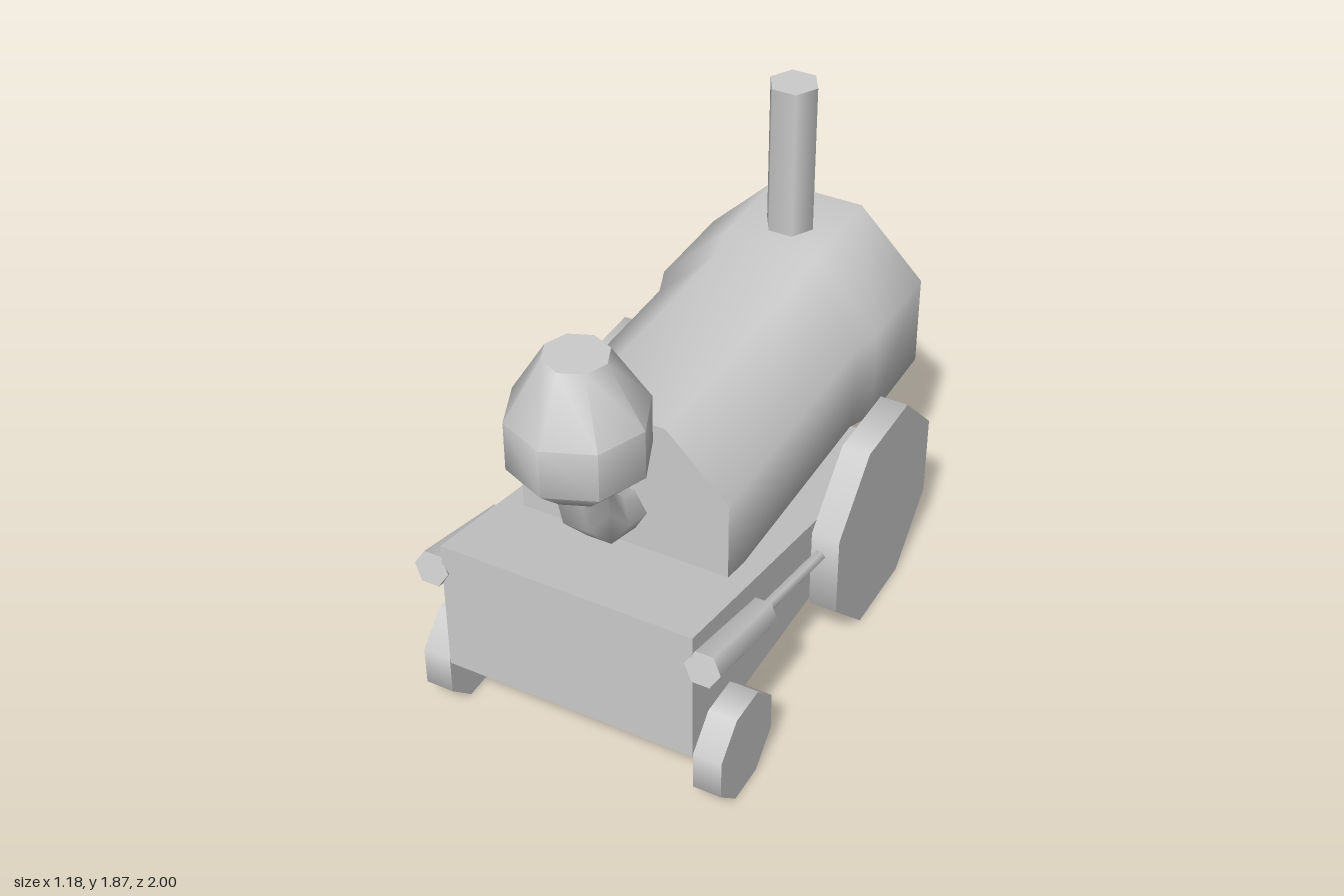
import * as THREE from 'three';
import { toCreasedNormals } from 'three/addons/utils/BufferGeometryUtils.js';

const material = new THREE.MeshStandardMaterial({ color: 0xcccccc });

export function createModel() {
  const model = new THREE.Group();
  const add = (name, geometry) => {
    const mesh = new THREE.Mesh(geometry, material);
    mesh.name = name;
    model.add(mesh);
    return mesh;
  };

  // Eight-sided turned body from [radius, height] pairs, listed upwards
  const turned = (profile, turn) => toCreasedNormals(
    new THREE.LatheGeometry(profile.map(([r, y]) => new THREE.Vector2(r, y)), 8, turn), 0.9);

  // Six-sided rod between two points, with its corners to the sides
  const rod = (name, from, to, rFrom, rTo) => {
    const dir = to.clone().sub(from);
    const geometry = new THREE.CylinderGeometry(rTo, rFrom, dir.length(), 6).rotateY(Math.PI / 6);
    const mesh = add(name, geometry);
    mesh.position.copy(from).lerp(to, 0.5);
    mesh.quaternion.setFromUnitVectors(new THREE.Vector3(0, 1, 0), dir.normalize());
  };
  const v = (x, y, z) => new THREE.Vector3(x, y, z);

  // Wedge chassis: side outline (z, y) extruded across the width
  const outline = new THREE.Shape(
    [[0.89, 0.25], [0.89, 0.79], [-0.78, 0.435], [-0.78, 0.25]].map(([z, y]) => new THREE.Vector2(z, y)));
  add('chassis', new THREE.ExtrudeGeometry(outline, { depth: 0.96, bevelEnabled: false })
    .translate(0, 0, -0.48).rotateY(-Math.PI / 2));

  // Octagonal boiler with a wider rear drum
  const k = 1 / Math.cos(Math.PI / 8);
  const boiler = add('boiler', turned(
    [[0, -1], [0.437 * k, -1], [0.437 * k, -0.6], [0.402 * k, -0.5], [0.402 * k, 0.49], [0, 0.49]],
    Math.PI / 8).rotateX(Math.PI / 2));
  boiler.position.y = 0.847;

  // Rear stack
  rod('stack', v(0, 1.2, -0.765), v(0, 1.867, -0.765), 0.093, 0.093);

  // Bent pipe carrying the front bulb
  const path = new THREE.CatmullRomCurve3(
    [v(0, 0.85, 0.44), v(0, 0.895, 0.6), v(0, 1.02, 0.72), v(0, 1.2, 0.77)]);
  add('bulbPipe', new THREE.TubeGeometry(path, 3, 0.093, 6));
  const bulb = add('bulb', turned(
    [[0, 1.16], [0.135, 1.16], [0.243, 1.265], [0.243, 1.45], [0.113, 1.665], [0, 1.665]], 0));
  bulb.position.z = 0.755;

  for (const [side, s] of [['left', 1], ['right', -1]]) {
    // Octagonal wheels resting on a flat
    for (const [end, z, r] of [['Rear', -0.4, 0.397], ['Front', 0.703, 0.187]]) {
      const wheel = add(side + end + 'Wheel', new THREE.CylinderGeometry(r * k, r * k, 0.107, 8)
        .rotateY(Math.PI / 8).rotateZ(Math.PI / 2));
      wheel.position.set(s * 0.536, r, z);
    }
    // Drive piston and its rod to the rear wheel
    rod(side + 'Piston', v(s * 0.52, 0.575, 0.468), v(s * 0.52, 0.677, 0.897), 0.06, 0.067);
    rod(side + 'PistonRod', v(s * 0.515, 0.468, -0.01), v(s * 0.515, 0.582, 0.5), 0.023, 0.023);
  }
  return model;
}
